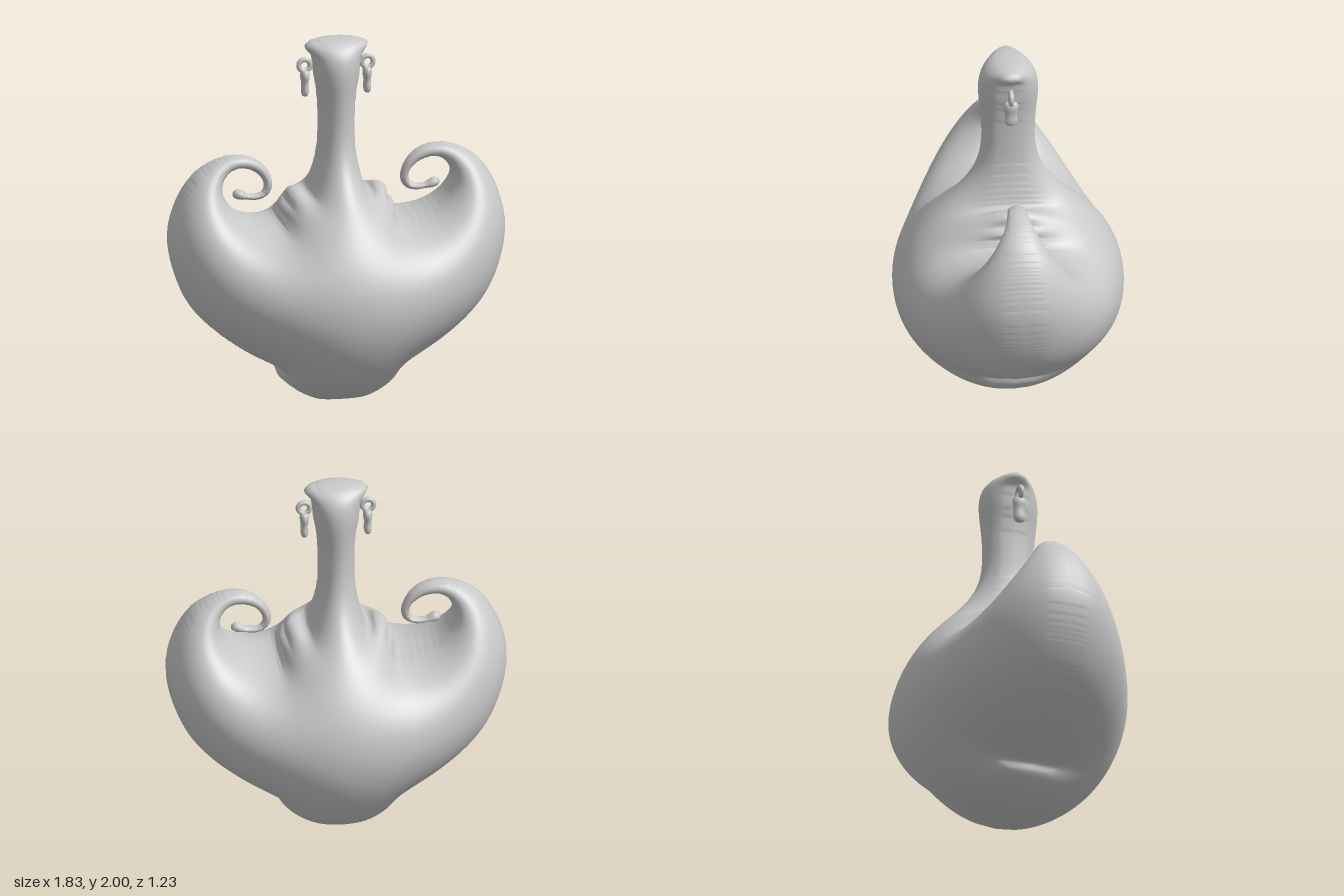
import * as THREE from 'three';
import { mergeVertices } from 'three/addons/utils/BufferGeometryUtils.js';

const H = 0.0088;     // cell size of the sheet
const DEPTH = 0.617;  // greatest half depth

// Half outline, from the top of the head down the left side to the base
const OUTLINE = [
  // head and neck
  [0, 2], [0.04, 1.999], [0.1, 1.993], [0.15, 1.981], [0.172, 1.962], [0.163, 1.935], [0.139, 1.908], [0.13, 1.86],
  [0.124, 1.8], [0.108, 1.71], [0.1, 1.6], [0.1, 1.42], [0.112, 1.32], [0.135, 1.22], [0.158, 1.158],
  // scalloped shoulder
  [0.18, 1.15], [0.205, 1.17], [0.24, 1.172], [0.27, 1.15], [0.273, 1.105], [0.3, 1.085], [0.31, 1.06],
  [0.3, 1.04], [0.313, 1.02], [0.32, 1.003],
  // valley and inside of the curl
  [0.37, 0.997], [0.46, 1.013], [0.54, 1.053], [0.6, 1.12], [0.626, 1.19], [0.61, 1.25], [0.57, 1.287],
  [0.52, 1.296], [0.46, 1.281], [0.415, 1.245], [0.395, 1.2], [0.405, 1.167], [0.44, 1.152], [0.485, 1.155],
  // curl tip
  [0.51, 1.172], [0.54, 1.181], [0.564, 1.163], [0.56, 1.136], [0.525, 1.121], [0.49, 1.119],
  // outside of the curl and body
  [0.44, 1.114], [0.395, 1.124], [0.36, 1.155], [0.349, 1.2], [0.362, 1.255], [0.4, 1.313], [0.47, 1.36],
  [0.56, 1.375], [0.67, 1.348], [0.78, 1.27], [0.87, 1.125], [0.914, 0.945], [0.894, 0.77], [0.82, 0.58],
  [0.71, 0.443], [0.53, 0.303], [0.4, 0.23], [0.345, 0.203],
  // foot
  [0.33, 0.19], [0.326, 0.145], [0.3, 0.107], [0.23, 0.052], [0.15, 0.01], [0.12, 0], [0.06, 0], [0, 0],
];

function smoothOutline() {
  const curve = new THREE.CatmullRomCurve3(OUTLINE.map(([x, y]) => new THREE.Vector3(x, y, 0)));
  return curve.getPoints((OUTLINE.length - 1) * 6).map(p => [Math.max(p.x, 0), Math.min(2, Math.max(p.y, 0))]);
}

// Closest point on the outline, and whether (x, y) lies within it
function locate(line, x, y) {
  let best = Infinity, px = 0, py = 0, inside = false;
  const tx = Math.max(x, 1e-5);
  for (let k = 0; k < line.length - 1; k++) {
    const [ax, ay] = line[k], [bx, by] = line[k + 1];
    const dx = bx - ax, dy = by - ay;
    const t = Math.min(1, Math.max(0, ((x - ax) * dx + (y - ay) * dy) / (dx * dx + dy * dy || 1)));
    const qx = ax + t * dx, qy = ay + t * dy, d = (x - qx) ** 2 + (y - qy) ** 2;
    if (d < best) { best = d; px = qx; py = qy; }
    if ((ay > y) !== (by > y) && tx < ax + dx * (y - ay) / dy) inside = !inside;
  }
  return { d: Math.sqrt(best), px, py, inside };
}

// Flat sheet filling the half outline: grid nodes near the edge slide onto it
function fillOutline(line) {
  const nx = Math.ceil(0.94 / H), ny = Math.ceil(2.05 / H), nodes = [], tris = [];
  for (let j = 0; j <= ny; j++) for (let i = 0; i <= nx; i++) {
    const x = i * H, y = -0.02 + j * H, c = locate(line, x, y);
    const rim = c.d < 0.72 * H;
    nodes.push({ x: rim && i > 0 ? c.px : x, y: rim ? c.py : y, rim, keep: rim || c.inside, u: 0, load: 0, links: new Map() });
  }
  const add = (...ids) => {
    const [a, b, c] = ids.map(i => nodes[i]);
    if (!(a.keep && b.keep && c.keep)) return;
    if ((b.x - a.x) * (c.y - a.y) - (c.x - a.x) * (b.y - a.y) < 1e-9) return;
    if (a.rim && b.rim && c.rim && !locate(line, (a.x + b.x + c.x) / 3, (a.y + b.y + c.y) / 3).inside) return;
    tris.push(ids);
  };
  for (let j = 0; j < ny; j++) for (let i = 0; i < nx; i++) {
    const a = j * (nx + 1) + i, d = a + nx + 1;
    add(a, a + 1, d + 1);
    add(a, d + 1, d);
  }
  return { nodes, tris };
}

// Inflate the sheet like a membrane under even pressure
function inflate({ nodes, tris }) {
  for (const t of tris) for (let k = 0; k < 3; k++) {
    const a = nodes[t[k]], b = nodes[t[(k + 1) % 3]], c = nodes[t[(k + 2) % 3]];
    const ux = b.x - a.x, uy = b.y - a.y, vx = c.x - a.x, vy = c.y - a.y, area2 = ux * vy - uy * vx;
    const w = (ux * vx + uy * vy) / area2 / 2;
    b.links.set(c, (b.links.get(c) || 0) + w);
    c.links.set(b, (c.links.get(b) || 0) + w);
    a.load += area2 / 6;
  }
  const free = nodes.filter(n => !n.rim && n.links.size);
  for (const n of free) {
    n.near = [...n.links.keys()];
    n.w = n.near.map(m => Math.max(0, n.links.get(m)));
    n.total = n.w.reduce((s, v) => s + v, 0);
  }
  for (let it = 0; it < 1200; it++) for (const n of free) {
    let s = n.load;
    for (let k = 0; k < n.near.length; k++) s += n.w[k] * n.near[k].u;
    n.u += 1.96 * (s / n.total - n.u);
  }
  const top = free.reduce((m, n) => Math.max(m, n.u), 0);
  for (const n of nodes) n.z = n.rim ? 0 : DEPTH * Math.sqrt(Math.max(0, n.u) / top);
}

// Mirror the inflated sheet left to right and front to back
function bodyGeometry() {
  const sheet = fillOutline(smoothOutline());
  inflate(sheet);
  const pos = [];
  for (const sx of [1, -1]) for (const sz of [1, -1]) for (const t of sheet.tris) {
    const order = sx * sz > 0 ? t : [t[0], t[2], t[1]];
    for (const id of order) {
      const n = sheet.nodes[id];
      pos.push(sx * n.x, n.y, sz * n.z);
    }
  }
  const raw = new THREE.BufferGeometry();
  raw.setAttribute('position', new THREE.Float32BufferAttribute(pos, 3));
  const geo = mergeVertices(raw, 1e-5);
  geo.computeVertexNormals();
  return geo;
}

export function createModel() {
  const group = new THREE.Group();
  const clay = new THREE.MeshStandardMaterial({ color: 0xc8c8c8 });
  clay.name = 'light grey clay';

  const body = new THREE.Mesh(bodyGeometry(), clay);
  body.name = 'body';
  group.add(body);

  // Ring and hanging drop on each side of the head
  const profile = new THREE.SplineCurve([
    [0, 1.676], [0.014, 1.682], [0.021, 1.705], [0.02, 1.75], [0.025, 1.79], [0.019, 1.818], [0, 1.826],
  ].map(([r, y]) => new THREE.Vector2(r, y))).getPoints(30);
  profile.forEach(p => { p.x = Math.max(p.x, 0); });
  const ringGeo = new THREE.TorusGeometry(0.031, 0.014, 14, 36);
  const dropGeo = new THREE.LatheGeometry(profile, 28);
  for (const [side, s] of [['left', 1], ['right', -1]]) {
    const earring = new THREE.Group();
    earring.name = side + 'Earring';
    const ring = new THREE.Mesh(ringGeo, clay);
    ring.name = side + 'Ring';
    ring.position.set(s * 0.172, 1.85, 0);
    const drop = new THREE.Mesh(dropGeo, clay);
    drop.name = side + 'Drop';
    drop.position.x = s * 0.17;
    drop.scale.z = 1.6;
    earring.add(ring, drop);
    group.add(earring);
  }
  return group;
}
